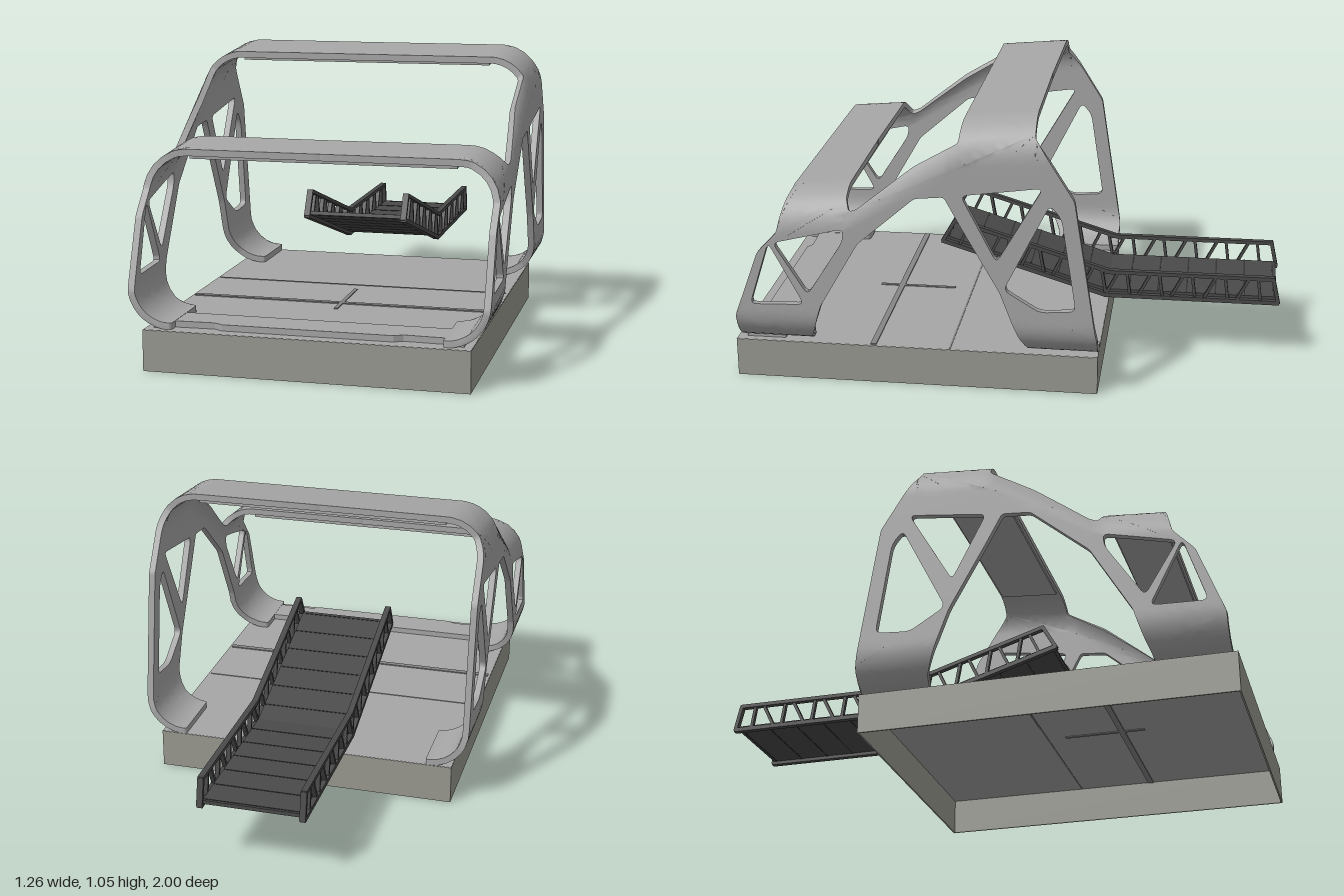
import * as THREE from 'three';
import { toCreasedNormals } from 'three/addons/utils/BufferGeometryUtils.js';

const mat = (name, color) => {
  const m = new THREE.MeshStandardMaterial({ color });
  m.name = name;
  return m;
};
const R = 0.147, FOOT = 0.292, SIDE = 0.63, THICK = 0.024, QUARTER = R * Math.PI / 2;

// Height at which the side wall starts to curl over into the roof, by z
const CURL = [[0.77, 0.592], [0.56, 0.61], [0.15, 0.875], [-0.12, 0.9]];
function curlStart(z) {
  if (z >= CURL[0][0]) return CURL[0][1];
  for (let i = 1; i < CURL.length; i++) {
    const [z0, h0] = CURL[i - 1], [z1, h1] = CURL[i];
    if (z >= z1) return h0 + (h1 - h0) * (z0 - z) / (z0 - z1);
  }
  return CURL[3][1];
}

// Folds the flat panel: curled foot, upright wall, rounded shoulder, flat roof
function fold(z, v, d) {
  const top = curlStart(z), up = v > top;
  const u = up ? v - top : FOOT - v;
  if (u <= 0) return [SIDE - d, v, z];
  const a = Math.min(u / R, Math.PI / 2), flat = Math.max(0, u - QUARTER);
  const dy = (R - d) * Math.sin(a);
  return [SIDE - R + (R - d) * Math.cos(a) - flat, up ? top + dy : FOOT - dy, z];
}

// Polygon with rounded corners
function roundedPoly(pts, r, target) {
  const v = pts.map(p => new THREE.Vector2(...p)), n = v.length;
  v.forEach((p, i) => {
    const cut = q => p.clone().lerp(q, Math.min(0.4, r / p.distanceTo(q)));
    const a = cut(v[(i + n - 1) % n]), b = cut(v[(i + 1) % n]);
    if (i) target.lineTo(a.x, a.y);
    else target.moveTo(a.x, a.y);
    target.quadraticCurveTo(p.x, p.y, b.x, b.y);
  });
  target.closePath();
  return target;
}

// Half of the arched shell, cut flat with its windows and then folded
function shellGeometry(sign) {
  const half = QUARTER + SIDE - R + 0.012, frontRoof = 0.61 + half, rearRoof = 0.9 + half;
  const shape = roundedPoly([
    [0.978, 0.05], [0.978, 0.27], [0.885, 0.52], [0.81, 0.6], [0.77, 0.78],
    [0.77, frontRoof - 0.018], [0.565, frontRoof], [0.56, 0.74], [0.545, 0.69], [0.515, 0.7],
    [0.31, 0.868], [0.15, 0.96], [0.14, 1.1], [0.14, rearRoof - 0.024],
    [-0.115, rearRoof], [-0.12, 0.99], [-0.26, 0.765], [-0.345, 0.22], [-0.345, 0.05],
    [-0.1, 0.05], [-0.085, 0.17], [0.005, 0.41], [0.14, 0.65], [0.2, 0.762], [0.305, 0.752],
    [0.515, 0.57], [0.66, 0.32], [0.71, 0.15], [0.72, 0.05]], 0.012, new THREE.Shape());
  [
    [[0.842, 0.56], [0.72, 0.325], [0.92, 0.318]],
    [[0.825, 0.56], [0.565, 0.625], [0.57, 0.575], [0.705, 0.365]],
    [[0.14, 0.77], [-0.15, 0.81], [0.015, 0.525]],
    [[-0.175, 0.75], [-0.215, 0.7], [-0.268, 0.35], [-0.14, 0.34], [-0.01, 0.42]]
  ].forEach(h => shape.holes.push(roundedPoly(h, 0.025, new THREE.Path())));
  const p = new THREE.ExtrudeGeometry(shape, { depth: THICK, bevelEnabled: false, curveSegments: 4 }).attributes.position;
  const out = [];
  // Halve the longest edge until the panel can bend smoothly
  const split = (a, b, c) => {
    const ab = a.distanceTo(b), bc = b.distanceTo(c), ca = c.distanceTo(a);
    if (Math.max(ab, bc, ca) > 0.042) {
      const [i, j, k] = ab >= bc && ab >= ca ? [a, b, c] : bc >= ca ? [b, c, a] : [c, a, b];
      const mid = i.clone().add(j).multiplyScalar(0.5);
      split(i, mid, k);
      split(mid, j, k);
      return;
    }
    for (const q of sign > 0 ? [a, b, c] : [a, c, b]) {
      const [x, y, z] = fold(q.x, q.y, q.z);
      out.push(x * sign, y, z);
    }
  };
  const vec = i => new THREE.Vector3().fromBufferAttribute(p, i);
  for (let i = 0; i < p.count; i += 3) split(vec(i), vec(i + 1), vec(i + 2));
  const g = new THREE.BufferGeometry();
  g.setAttribute('position', new THREE.Float32BufferAttribute(out, 3));
  return toCreasedNormals(g, 0.6);
}

export function createModel() {
  const model = new THREE.Group();
  const shellGray = mat('shell gray', 0xa6a6a6), baseGray = mat('base gray', 0x9a9a92);
  const seamGray = mat('seam gray', 0x868686), rampDark = mat('ramp charcoal', 0x4a4a4a);
  const rampSeam = mat('ramp seam', 0x333333);
  const add = (parent, name, geo, material) => {
    const m = new THREE.Mesh(geo, material);
    m.name = name;
    parent.add(m);
    return m;
  };
  const box = (parent, name, w, h, d, x, y, z, material) => {
    const m = add(parent, name, new THREE.BoxGeometry(w, h, d), material);
    m.position.set(x, y, z);
    return m;
  };

  // Hollow base: four thin walls under a deck
  for (const s of [-1, 1]) {
    box(model, 'baseSideWall', 0.006, 0.145, 1.345, s * 0.567, 0.0725, 0.3275, baseGray);
    box(model, 'baseEndWall', 1.14, 0.145, 0.006, 0, 0.0725, 0.3275 + s * 0.6695, baseGray);
  }
  box(model, 'deck', 1.136, 0.01, 1.341, 0, 0.141, 0.3275, shellGray);
  // Deck seams, showing above and below
  box(model, 'deckCrossSeam', 1.12, 0.018, 0.022, 0, 0.141, 0.485, seamGray);
  box(model, 'deckLongSeam', 0.014, 0.016, 0.3, 0, 0.141, 0.42, seamGray);
  box(model, 'deckRearSeam', 1.12, 0.014, 0.006, 0, 0.141, 0.2, seamGray);

  // Front sill with a stepped leading edge
  const sill = new THREE.Shape([[-0.54, -0.82], [-0.54, -0.965], [-0.48, -0.94], [-0.33, -0.935],
    [-0.3, -0.952], [0.3, -0.952], [0.33, -0.935], [0.48, -0.94], [0.54, -0.965], [0.54, -0.82]]
    .map(p => new THREE.Vector2(...p)));
  const sillGeo = new THREE.ExtrudeGeometry(sill, { depth: 0.022, bevelEnabled: false });
  sillGeo.rotateX(-Math.PI / 2);
  add(model, 'frontSill', sillGeo, shellGray).position.y = 0.146;

  // Arched shell halves and the liners beneath both roof beams
  add(model, 'leftShell', shellGeometry(1), shellGray);
  add(model, 'rightShell', shellGeometry(-1), shellGray);
  for (const [name, y, z, d] of [['frontBeamLiner', 0.724, 0.666, 0.19], ['rearBeamLiner', 1.012, 0.012, 0.235]]) {
    box(model, name, 0.95, 0.024, d, 0, y, z, shellGray).rotation.x = 0.08;
  }

  // Ramp: two trussed sections meeting at a hinge line
  const ramp = new THREE.Group();
  ramp.name = 'ramp';
  model.add(ramp);
  function section(dirZ, angle, len) {
    const c = Math.cos(angle), s = Math.sin(angle), tilt = -angle * dirZ;
    const P = (u, h) => [0.224 + u * s + h * c, -0.342 + dirZ * (u * c - h * s)];
    const bar = (name, x, u0, h0, u1, h1, t, w) => {
      const [y0, z0] = P(u0, h0), [y1, z1] = P(u1, h1);
      const m = box(ramp, name, w, t, Math.hypot(y1 - y0, z1 - z0) + t * 0.6, x, (y0 + y1) / 2, (z0 + z1) / 2, rampDark);
      m.rotation.x = -Math.atan2(y1 - y0, z1 - z0);
    };
    for (const x of [-0.185, 0.185]) {
      bar('lowerRail', x, 0, 0.008, len - 0.006, 0.008, 0.016, 0.022);
      bar('upperRail', x, 0, 0.103, len - 0.026, 0.103, 0.014, 0.022);
      bar('endPost', x, len - 0.006, 0.01, len - 0.026, 0.1, 0.014, 0.022);
      const n = 10, step = (len - 0.04) / n;
      for (let i = 0; i < n; i++) {
        const mid = (i + 0.4) * step, lean = step * (i % 2 ? -0.1 : 0.36);
        bar('trussBar', x, mid - lean, 0.012, mid + lean, 0.1, 0.011, 0.016);
      }
    }
    const plank = (name, w, t, l, u, material) => {
      const [y, z] = P(u, 0.02);
      box(ramp, name, w, t, l, 0, y, z, material).rotation.x = tilt;
    };
    plank('rampFloor', 0.355, 0.014, len - 0.01, (len - 0.01) / 2, rampDark);
    for (let i = 0; i < 6; i++) plank('floorSeam', 0.352, 0.017, 0.005, (i + 0.8) * len / 6, rampSeam);
  }
  section(-1, 0, 0.658);
  section(1, 0.297, 0.662);
  return model;
}
